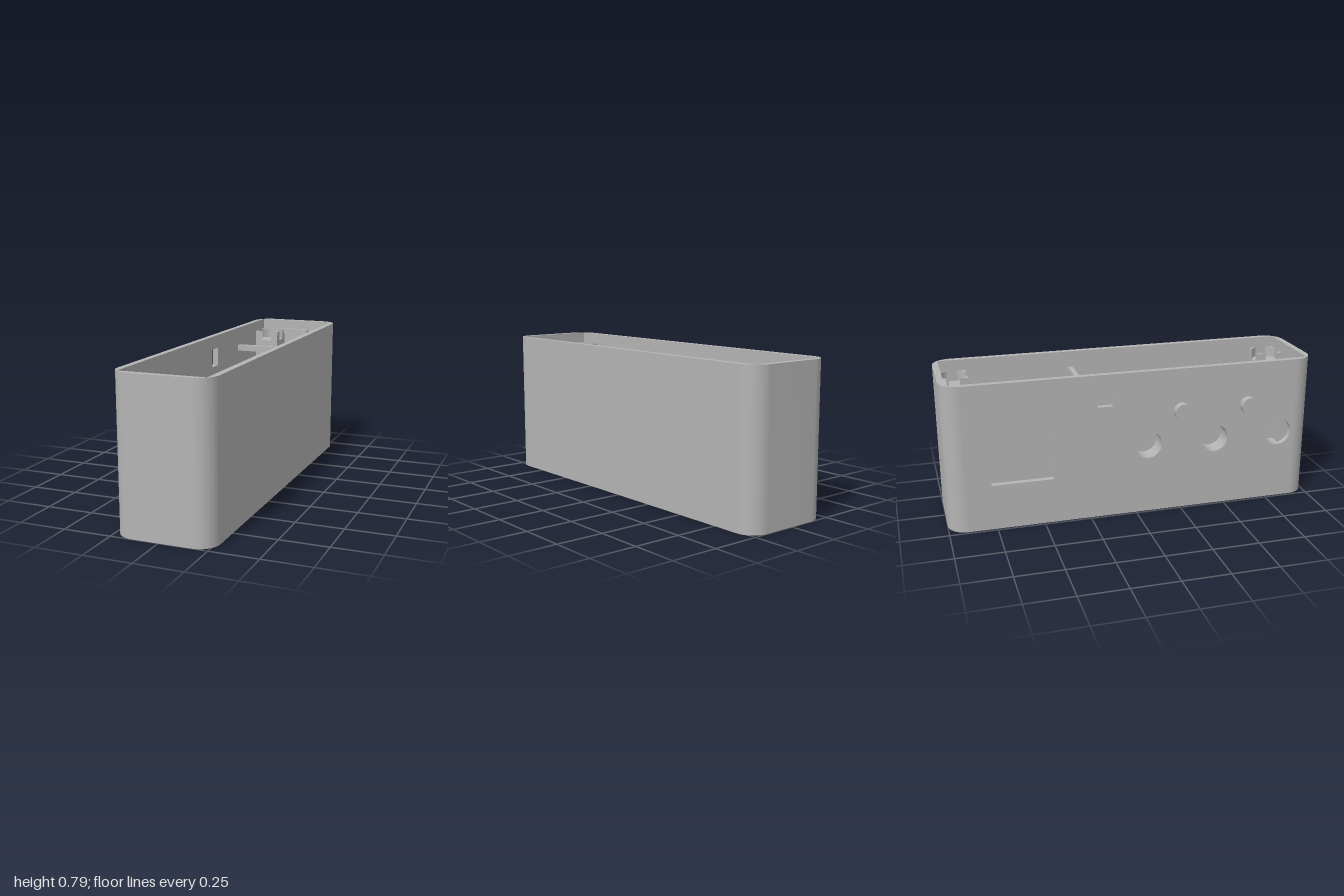
import * as THREE from 'three';
import { toCreasedNormals } from 'three/addons/utils/BufferGeometryUtils.js';

// Overall sizes of the case
const X0 = -0.237, X1 = 0.272, Z = 1, H = 0.79, R = 0.1, FLOOR = 0.035;
const IN0 = -0.205, IN1 = 0.239, INZ = 0.967; // inner cavity

export function createModel() {
  const model = new THREE.Group();
  const grey = new THREE.MeshStandardMaterial({ color: 0xb4b4b4 });
  grey.name = 'case grey';

  function add(name, geo, parent = model) {
    const mesh = new THREE.Mesh(geo, grey);
    mesh.name = name;
    parent.add(mesh);
    return mesh;
  }
  const extrude = (shape, depth) => toCreasedNormals(
    new THREE.ExtrudeGeometry(shape, { depth, bevelEnabled: false, curveSegments: 16 }), 0.5);
  // Plan outline raised from y0 to y1
  const upright = (shape, y0, y1) => extrude(shape, y1 - y0).rotateX(-Math.PI / 2).translate(0, y0, 0);
  // Side outline (z, y) given thickness in x from xa to xb
  const sideways = (shape, xa, xb) => extrude(shape, xb - xa).rotateY(-Math.PI / 2).translate(xb, 0, 0);
  const box = (name, x0, x1, y0, y1, z0, z1) => add(name,
    new THREE.BoxGeometry(x1 - x0, y1 - y0, z1 - z0).translate((x0 + x1) / 2, (y0 + y1) / 2, (z0 + z1) / 2));

  function rectangle(target, x0, x1, y0, y1) {
    target.moveTo(x0, y0);
    target.lineTo(x1, y0);
    target.lineTo(x1, y1);
    target.lineTo(x0, y1);
    target.closePath();
    return target;
  }
  function circle(target, x, y, r) {
    target.absarc(x, y, r, 0, Math.PI * 2, false);
    return target;
  }
  // Rounded outer outline, running from one end of the panel wall to the other
  function outline() {
    const s = new THREE.Shape(), q = Math.PI / 2;
    s.moveTo(X0, -Z + R);
    s.absarc(X0 + R, -Z + R, R, 2 * q, 3 * q, false);
    s.absarc(X1 - R, -Z + R, R, 3 * q, 4 * q, false);
    s.absarc(X1 - R, Z - R, R, 0, q, false);
    s.absarc(X0 + R, Z - R, R, q, 2 * q, false);
    return s;
  }

  // Floor and three plain walls
  add('floor', upright(outline(), 0, FLOOR));
  const walls = outline();
  for (const [x, z] of [[IN0, Z - R], [IN0, INZ], [IN1, INZ], [IN1, -INZ], [IN0, -INZ], [IN0, -Z + R]]) walls.lineTo(x, z);
  add('walls', upright(walls, FLOOR, H));

  // Panel wall with window, slot and three round holes
  const holeZ = [0.067, 0.44, 0.81], holeY = 0.383, holeR = 0.075;
  const panel = rectangle(new THREE.Shape(), -Z + R, Z - R, FLOOR, H);
  panel.holes.push(rectangle(new THREE.Path(), -0.77, -0.443, 0.246, 0.519));
  panel.holes.push(rectangle(new THREE.Path(), -0.207, -0.124, 0.617, 0.717));
  for (const z of holeZ) panel.holes.push(circle(new THREE.Path(), z, holeY, holeR));
  add('panelWall', sideways(panel, X0, IN0));

  // Collars behind the round holes
  for (const z of holeZ) {
    const ring = circle(new THREE.Shape(), z, holeY, 0.11);
    ring.holes.push(circle(new THREE.Path(), z, holeY, holeR));
    add('holeCollar', sideways(ring, IN0, -0.14));
  }

  // Round pegs on the outside of the panel
  for (const z of [0.25, 0.625]) {
    add('peg', new THREE.CylinderGeometry(0.046, 0.046, 0.055, 32)
      .rotateZ(Math.PI / 2).translate(-0.2475, 0.559, z));
  }

  // Square corner posts, each with a round seat between four prongs
  const h = 0.0715, seatR = 0.077, s = Math.sqrt(seatR * seatR - h * h);
  const postTop = 0.73, seatY = 0.675;
  const prong = new THREE.Shape();
  prong.moveTo(h, h);
  prong.lineTo(s, h);
  prong.absarc(0, 0, seatR, Math.atan2(h, s), Math.atan2(s, h), true);
  prong.closePath();
  for (const x of [-0.1345, 0.1665]) {
    for (const z of [-0.896, 0.896]) {
      const post = new THREE.Group();
      post.name = 'cornerPost';
      post.position.set(x, 0, z);
      model.add(post);
      add('postBody', new THREE.BoxGeometry(2 * h, seatY - FLOOR, 2 * h).translate(0, (seatY + FLOOR) / 2, 0), post);
      for (let k = 0; k < 4; k++) add('postProng', upright(prong, seatY, postTop).rotateY(k * Math.PI / 2), post);
    }
  }

  // Cross bars and the ridge on the back wall
  box('upperBar', -0.1, 0.14, 0.7, 0.732, -0.28, -0.254);
  box('lowerBar', -0.1, 0.14, FLOOR, 0.067, -0.28, -0.254);
  box('backRidge', -0.066, 0.096, 0.71, 0.737, -0.968, -0.942);

  return model;
}
